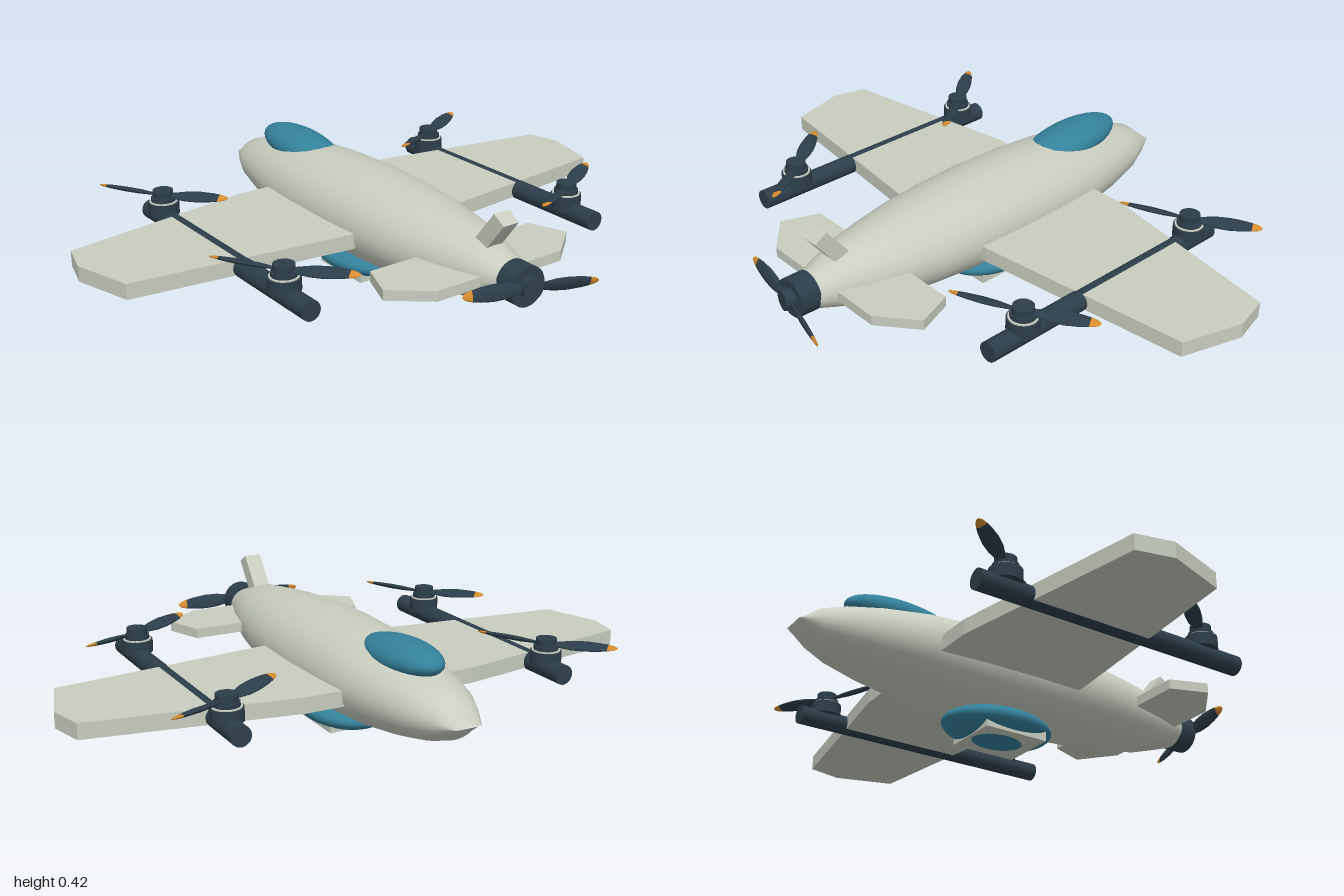
import * as THREE from 'three';

const mat = (name, color) => {
  const m = new THREE.MeshStandardMaterial({ color });
  m.name = name;
  return m;
};

export function createModel() {
  const hull = mat('paleHull', 0xc8cdbf);
  const teal = mat('tealGlass', 0x34819b);
  const dark = mat('darkSlate', 0x2c3e4a);
  const orange = mat('orangeTip', 0xd68c2e);

  const model = new THREE.Group();
  model.name = 'aircraft';

  const add = (parent, name, geo, material, x = 0, y = 0, z = 0) => {
    const mesh = new THREE.Mesh(geo, material);
    mesh.name = name;
    mesh.position.set(x, y, z);
    parent.add(mesh);
    return mesh;
  };

  // Fuselage: elliptical rings [z, half width, half height], wedge nose at -z
  const rings = [
    [-0.825, 0.045, 0.001], [-0.756, 0.083, 0.06], [-0.68, 0.118, 0.087],
    [-0.56, 0.148, 0.114], [-0.4, 0.177, 0.138], [-0.24, 0.187, 0.15],
    [-0.04, 0.191, 0.154], [0.13, 0.185, 0.148], [0.28, 0.172, 0.138],
    [0.42, 0.146, 0.122], [0.53, 0.118, 0.107], [0.63, 0.083, 0.075], [0.7, 0.058, 0.05],
  ];
  const SIDES = 32, pos = [], idx = [];
  rings.forEach(([z, w, h], i) => {
    for (let j = 0; j < SIDES; j++) {
      const a = (j / SIDES) * Math.PI * 2;
      pos.push(w * Math.cos(a), 0.226 + h * Math.sin(a), z);
      if (i === rings.length - 1) continue;
      const p = i * SIDES + j, q = i * SIDES + (j + 1) % SIDES;
      idx.push(p, q, p + SIDES, q, q + SIDES, p + SIDES);
    }
  });
  const body = new THREE.BufferGeometry();
  body.setAttribute('position', new THREE.Float32BufferAttribute(pos, 3));
  body.setIndex(idx);
  body.computeVertexNormals();
  add(model, 'fuselage', body, hull);

  // Flat surfaces mirrored from a half outline of [x, z]
  const plate = (half, thickness) => {
    const pts = [...half, ...half.map(([x, z]) => [-x, z]).reverse()];
    const shape = new THREE.Shape(pts.map(([x, z]) => new THREE.Vector2(x, -z)));
    return new THREE.ExtrudeGeometry(shape, { depth: thickness, bevelEnabled: false }).rotateX(-Math.PI / 2);
  };
  add(model, 'wing', plate([[0.3, -0.4], [0.97, -0.284], [1, -0.163], [0.94, 0.04], [0.2, 0.128]], 0.052), hull, 0, 0.182);
  add(model, 'tailplane', plate([[0.32, 0.402], [0.368, 0.53], [0.245, 0.63]], 0.034), hull, 0, 0.206);

  // Swept tail fin, side outline of [z, y]
  const finShape = new THREE.Shape(
    [[0.664, 0.398], [0.62, 0.425], [0.5, 0.27], [0.555, 0.255]].map((p) => new THREE.Vector2(...p)));
  const fin = new THREE.ExtrudeGeometry(finShape, { depth: 0.06, bevelEnabled: false });
  add(model, 'tailFin', fin.rotateY(-Math.PI / 2), hull, 0.03);

  // Canopy, belly dome and belly box
  const ellipsoid = (x, y, z) => new THREE.SphereGeometry(1, 40, 24).scale(x, y, z);
  add(model, 'canopy', ellipsoid(0.09, 0.058, 0.21), teal, 0, 0.338, -0.447).rotation.x = -0.07 * -1;
  add(model, 'bellyDome', ellipsoid(0.14, 0.054, 0.197), teal, 0, 0.055, -0.08);
  add(model, 'bellyBox', new THREE.BoxGeometry(0.2, 0.052, 0.232), hull, 0, 0.033, -0.068);

  // Two-blade propeller spinning about y
  const lathe = (pts, thin) => new THREE.LatheGeometry(pts.map((p) => new THREE.Vector2(...p)), 16)
    .scale(thin, 1, 1).rotateZ(-Math.PI / 2);
  const bladeGeo = lathe([[0.01, 0], [0.014, 0.035], [0.024, 0.085], [0.026, 0.13], [0.022, 0.175], [0.017, 0.203]], 0.32);
  const tipGeo = lathe([[0.017, 0.203], [0.012, 0.222], [0.006, 0.232], [0, 0.236]], 0.32);
  const propeller = () => {
    const prop = new THREE.Group();
    prop.name = 'propeller';
    for (const turn of [0, Math.PI]) {
      const arm = new THREE.Group();
      arm.name = 'bladeArm';
      arm.rotation.y = turn;
      const blade = new THREE.Group();
      blade.name = 'blade';
      blade.rotation.set(0.35, 0, 0.06);
      add(blade, 'bladeBody', bladeGeo, dark);
      add(blade, 'bladeTip', tipGeo, orange);
      arm.add(blade);
      prop.add(arm);
    }
    add(prop, 'hub', new THREE.CylinderGeometry(0.034, 0.034, 0.036, 24), dark, 0, 0.002);
    return prop;
  };

  // Booms with lift rotors on each side
  const boomGeo = new THREE.CylinderGeometry(0.033, 0.033, 0.99, 24).rotateX(Math.PI / 2);
  for (const side of [-1, 1]) {
    const x = side * 0.57;
    add(model, side > 0 ? 'leftBoom' : 'rightBoom', boomGeo, dark, x, 0.204, -0.035);
    for (const z of [-0.43, 0.32]) {
      const rotor = new THREE.Group();
      rotor.name = 'liftRotor';
      rotor.position.set(x, 0, z);
      add(rotor, 'motor', new THREE.CylinderGeometry(0.052, 0.052, 0.042, 24), dark, 0, 0.241);
      add(rotor, 'motorRing', new THREE.CylinderGeometry(0.047, 0.047, 0.004, 24), hull, 0, 0.264);
      add(rotor, 'motorCap', new THREE.CylinderGeometry(0.041, 0.041, 0.016, 24), dark, 0, 0.271);
      const prop = propeller();
      prop.position.y = 0.283;
      prop.rotation.y = side > 0 ? 0.5 : -0.905;
      rotor.add(prop);
      model.add(rotor);
    }
  }

  // Pusher motor and propeller at the tail
  add(model, 'pusherMotor', new THREE.CylinderGeometry(0.065, 0.065, 0.07, 24).rotateX(Math.PI / 2), dark, 0, 0.229, 0.712);
  const pusher = new THREE.Group();
  pusher.name = 'pusherPropeller';
  pusher.position.set(0, 0.232, 0.755);
  pusher.rotation.set(0, -0.19, -0.06);
  const prop = propeller();
  prop.rotation.x = Math.PI / 2;
  pusher.add(prop);
  model.add(pusher);

  return model;
}
